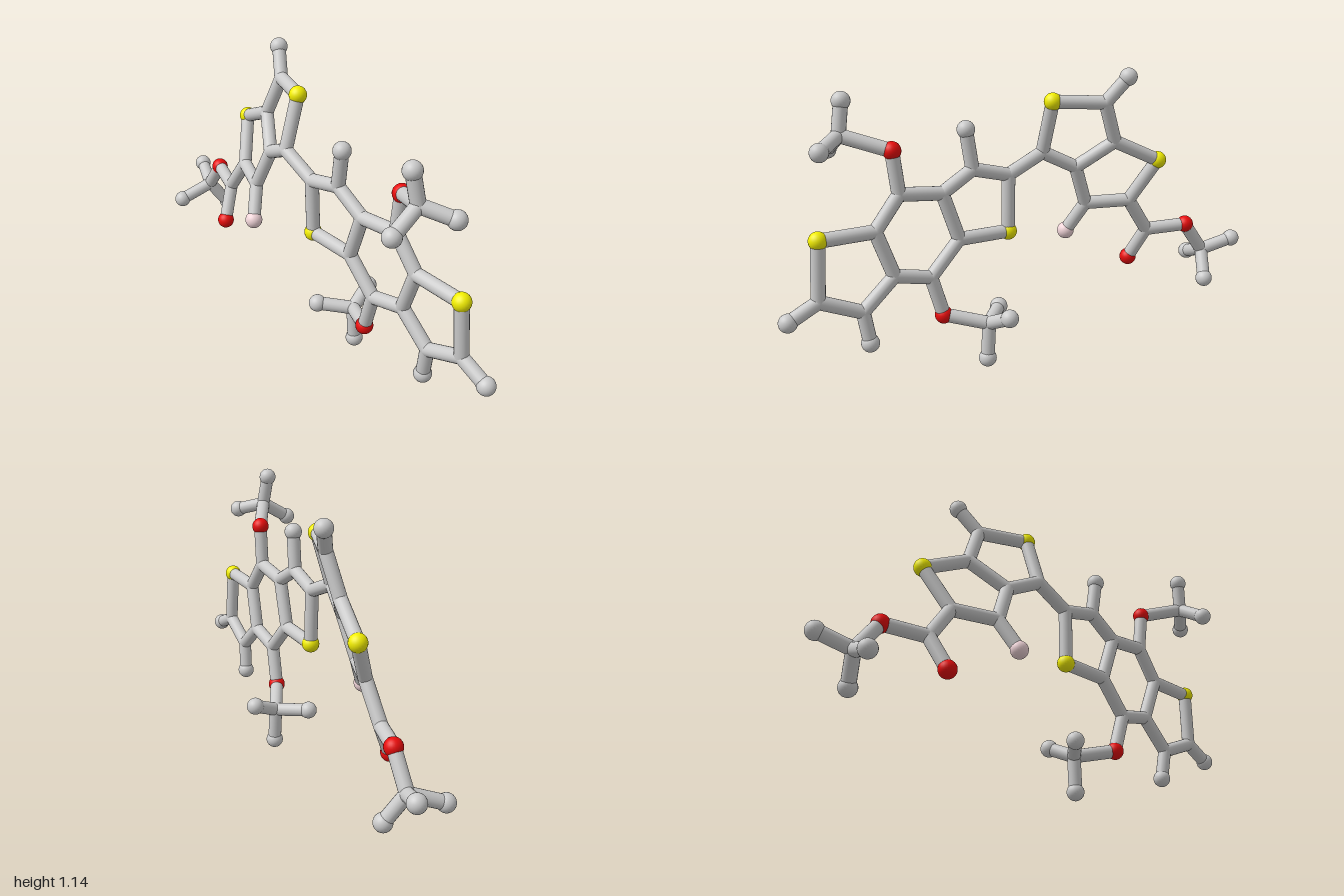
import * as THREE from 'three';

const GREY = 0xcccccc, YELLOW = 0xf2ee00, RED = 0xe80c0c, PINK = 0xf0d4d8;
const BALL = 0.035, ROD = 0.027;

// Joints: [x, y, z]
const joints = {
  // left fused pair of five-sided rings
  a1: [-0.305, 1.005, -0.089], aS: [-0.105, 1.015, -0.03], a2: [-0.095, 0.805, 0.035],
  a3: [-0.235, 0.735, 0.014], a4: [-0.37, 0.84, -0.06], bS: [-0.56, 0.75, -0.085],
  b1: [-0.475, 0.575, -0.011], b2: [-0.3, 0.57, 0.044],
  aTip: [-0.38, 1.105, -0.13], bTip: [-0.24, 0.445, 0.1],
  // left side branch
  e1: [-0.575, 0.43, 0.003], eO: [-0.53, 0.295, 0.066], eO2: [-0.745, 0.44, -0.04],
  e2: [-0.84, 0.312, -0.037], eTip1: [-0.968, 0.355, -0.075],
  eTip2: [-0.865, 0.26, 0.1], eTip3: [-0.81, 0.205, -0.107],
  // right fused triple ring
  c1: [0.06, 0.735, 0.022], cS: [0.065, 0.508, 0.018], c2: [0.215, 0.775, 0.015],
  c3: [0.345, 0.7, 0.003], c4: [0.28, 0.51, 0.003], cTip: [0.238, 0.93, 0.018],
  d1: [0.52, 0.72, -0.01], d2: [0.62, 0.595, -0.022], d3: [0.555, 0.415, -0.027], d4: [0.405, 0.38, -0.012],
  fS: [0.835, 0.595, -0.036], f1: [0.85, 0.37, -0.045], f2: [0.685, 0.3, -0.04],
  fTip1: [0.965, 0.315, -0.056], fTip2: [0.665, 0.175, -0.046],
  // upper branch
  gO: [0.54, 0.885, -0.008], g1: [0.71, 0.942, 0.072], gTip1: [0.69, 1.063, 0.087],
  gTip2: [0.723, 0.87, 0.188], gTip3: [0.805, 0.905, -0.012],
  // lower branch
  hO: [0.358, 0.22, -0.015], h1: [0.198, 0.18, -0.085], hTip1: [0.105, 0.195, 0.025],
  hTip2: [0.16, 0.23, -0.19], hTip3: [0.207, 0.037, -0.088],
};

// Each chain is a run of joints linked by rods
const chains = [
  'a1 aS a2 a3 a4 a1 aTip', 'a4 bS b1 b2 a3', 'b2 bTip',
  'b1 e1 eO', 'e1 eO2 e2 eTip1', 'eTip2 e2 eTip3',
  'a2 c1 c2 c3 c4 cS c1', 'c2 cTip', 'c3 d1 d2 d3 d4 c4',
  'd2 fS f1 f2 d3', 'f1 fTip1', 'f2 fTip2',
  'd1 gO g1 gTip1', 'gTip2 g1 gTip3', 'd4 hO h1 hTip1', 'hTip2 h1 hTip3',
];

export function createModel() {
  const model = new THREE.Group();
  model.name = 'stickMolecule';
  const materials = {};
  const material = (color) => (materials[color] ??= new THREE.MeshStandardMaterial({ color }));
  const point = (key) => new THREE.Vector3(...joints[key]);
  const ballShape = new THREE.SphereGeometry(BALL, 24, 16);
  const elbowShape = new THREE.SphereGeometry(ROD, 24, 16);

  // Balls: coloured atoms and free ends stand proud, inner joints match the rods
  for (const key of Object.keys(joints)) {
    let color = GREY, name = 'joint';
    if (key.endsWith('S')) [color, name] = [YELLOW, 'yellowAtom'];
    else if (key.includes('O')) [color, name] = [RED, 'redAtom'];
    else if (key === 'bTip') [color, name] = [PINK, 'pinkAtom'];
    else if (key.includes('Tip')) name = 'endAtom';
    const ball = new THREE.Mesh(name === 'joint' ? elbowShape : ballShape, material(color));
    ball.position.copy(point(key));
    ball.name = name;
    model.add(ball);
  }

  // Rods between neighbouring joints
  const up = new THREE.Vector3(0, 1, 0);
  for (const chain of chains) {
    const keys = chain.split(' ');
    for (let i = 1; i < keys.length; i++) {
      const from = point(keys[i - 1]), to = point(keys[i]);
      const span = to.clone().sub(from);
      const rod = new THREE.Mesh(
        new THREE.CylinderGeometry(ROD, ROD, span.length(), 20, 1, true), material(GREY));
      rod.position.copy(from).add(to).multiplyScalar(0.5);
      rod.quaternion.setFromUnitVectors(up, span.normalize());
      rod.name = 'bond';
      model.add(rod);
    }
  }
  return model;
}
